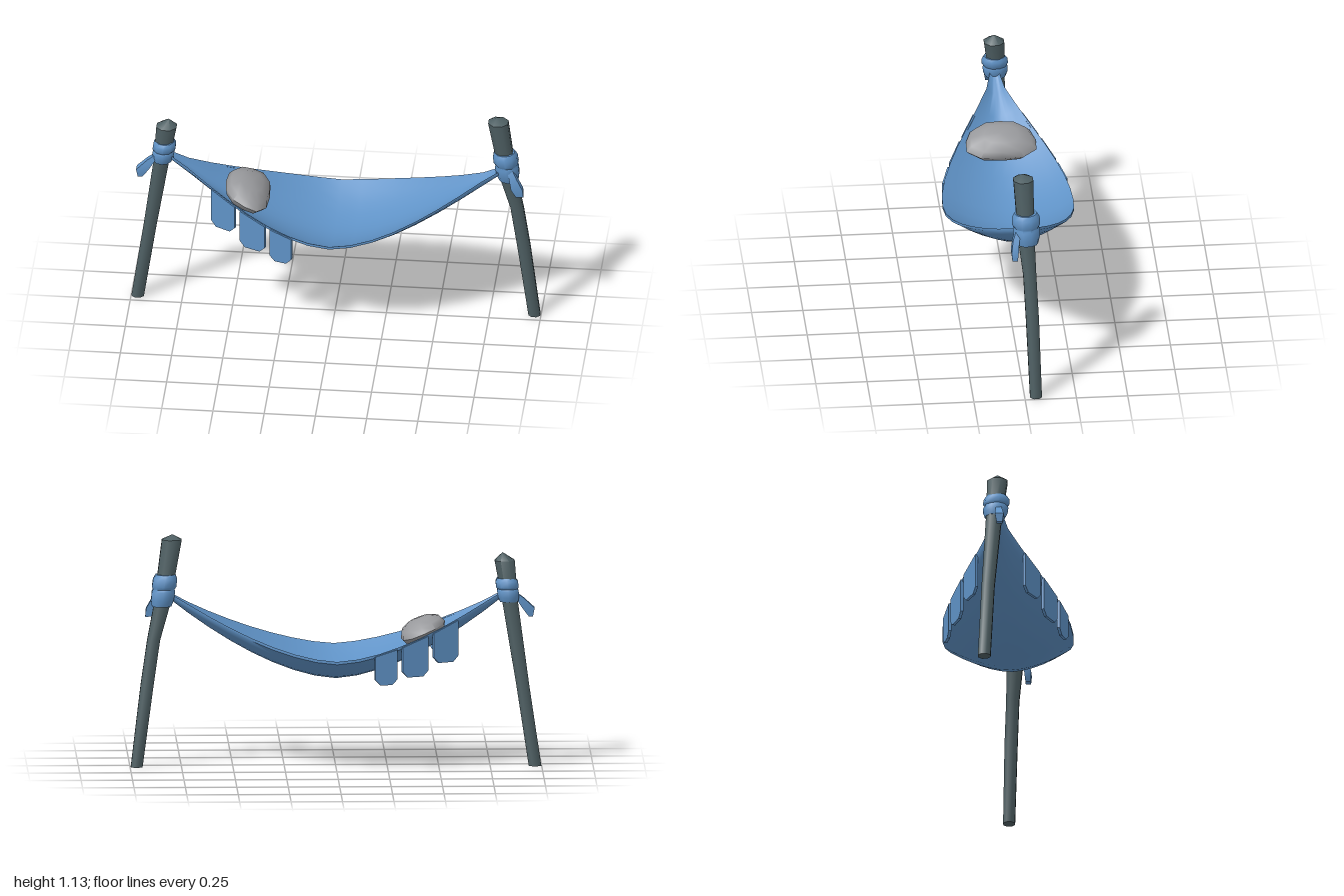
import * as THREE from 'three';
import { toCreasedNormals } from 'three/addons/utils/BufferGeometryUtils.js';

// Skin a list of equally sized closed rings of [x, y, z] points
function skin(rings, crease = 0.9) {
  const n = rings[0].length, index = [];
  for (let i = 0; i < rings.length - 1; i++) {
    for (let j = 0; j < n; j++) {
      const a = i * n + j, b = i * n + (j + 1) % n;
      index.push(a, a + n, b, b, a + n, b + n);
    }
  }
  const geo = new THREE.BufferGeometry();
  geo.setAttribute('position', new THREE.Float32BufferAttribute(rings.flat(2), 3));
  geo.setIndex(index);
  return toCreasedNormals(geo, crease);
}

// Horizontal rings rising along a path of [x, y, z, rx, rz]; a zero radius closes an end
function loft(path, sides) {
  return skin(path.map(([x, y, z, rx, rz = rx]) =>
    Array.from({ length: sides }, (_, j) => {
      const a = ((j + 0.5) / sides) * Math.PI * 2;
      return [x + rx * Math.cos(a), y, z + rz * Math.sin(a)];
    })));
}

// Cloth rules: half width, rim height and centre-line height along x
const END = 0.82;
const along = (x) => Math.min(1, Math.abs(x) / END);
const halfWidth = (x) => Math.max(0.016, 0.32 * Math.max(0, Math.cos(along(x) * Math.PI / 2)) ** 1.2);
const rimY = (x) => 0.543 + 0.305 * along(x) ** 1.6;
const keelY = (x) => 0.435 + 0.4 * along(x) ** 1.65;

export function createModel() {
  const model = new THREE.Group();
  const material = (name, color) => {
    const m = new THREE.MeshStandardMaterial({ color });
    m.name = name;
    return m;
  };
  const wood = material('dark wood', 0x4f6064);
  const blue = material('blue cloth', 0x5f92c6);
  const grey = material('grey pillow', 0x98999c);
  const add = (name, geo, mat) => {
    const mesh = new THREE.Mesh(geo, mat);
    mesh.name = name;
    model.add(mesh);
    return mesh;
  };

  // Leaning, slightly bent poles with blunt points
  add('rightPole', loft([
    [-0.968, 0, -0.055, 0], [-0.968, 0, -0.055, 0.033], [-0.908, 0.4, -0.04, 0.034],
    [-0.848, 0.8, -0.015, 0.041], [-0.822, 1.0, 0, 0.053], [-0.812, 1.04, 0, 0],
  ], 8), wood);
  add('leftPole', loft([
    [0.968, 0, -0.055, 0], [0.968, 0, -0.055, 0.031], [0.917, 0.4, -0.042, 0.034],
    [0.885, 0.62, -0.032, 0.034], [0.847, 0.78, -0.02, 0.042],
    [0.796, 1.11, -0.007, 0.052], [0.792, 1.135, -0.005, 0],
  ], 8), wood);

  // Wrapped knots: two bulging bands around each pole
  const bands = [[0, 0.035], [0, 0.055], [0.2, 0.064], [0.46, 0.066], [0.54, 0.061],
    [0.62, 0.069], [0.86, 0.068], [1, 0.056], [1, 0.035]];
  const knot = (name, bottom, top, scale) => {
    const path = bands.map(([t, r]) => [
      ...bottom.map((v, k) => v + (top[k] - v) * t), r * scale * 0.9, r * scale]);
    add(name, loft(path, 10), blue);
  };
  knot('rightKnot', [-0.843, 0.8, -0.01], [-0.83, 0.915, -0.003], 0.93);
  knot('leftKnot', [0.846, 0.785, -0.022], [0.826, 0.94, -0.016], 1);

  // Loose cloth ends hanging from the knots
  add('rightKnotTail', loft([
    [-0.95, 0.722, 0.018, 0], [-0.95, 0.722, 0.018, 0.014, 0.02], [-0.938, 0.765, 0.018, 0.042, 0.03],
    [-0.895, 0.815, 0.012, 0.028, 0.022], [-0.86, 0.845, 0.01, 0.02, 0.018],
  ], 4), blue);
  add('leftKnotTail', loft([
    [0.905, 0.725, 0.042, 0], [0.905, 0.725, 0.042, 0.026, 0.018], [0.892, 0.765, 0.042, 0.04, 0.024],
    [0.872, 0.82, 0.034, 0.026, 0.022], [0.855, 0.86, 0.02, 0.02, 0.02],
  ], 4), blue);

  // Sagging cloth: a thin shell with a curved cross-section
  const STEPS = 16, ACROSS = 10, rings = [];
  for (let i = 0; i <= STEPS; i++) {
    const x = (i / STEPS * 2 - 1) * END, top = [], under = [];
    for (let j = 0; j <= ACROSS; j++) {
      const u = 1 - 2 * j / ACROSS;
      const y = keelY(x) + (rimY(x) - keelY(x)) * Math.abs(u) ** 1.8;
      top.push([x, y + 0.007, u * halfWidth(x)]);
      under.unshift([x, y - 0.007, u * halfWidth(x)]);
    }
    rings.push([...top, ...under]);
  }
  add('hammockCloth', skin(rings), blue);

  // Hanging tabs along both rims at one end: centre x, half width, bottom height
  const tabs = [[-0.53, 0.06, 0.522], [-0.38, 0.063, 0.462], [-0.238, 0.055, 0.43]];
  for (const [x, w, bottom] of tabs) {
    const slope = (halfWidth(x + 0.03) - halfWidth(x - 0.03)) / 0.06;
    const yaw = Math.atan(slope), half = w / Math.cos(yaw), c = 0.028;
    const shape = new THREE.Shape([
      [-half, rimY(x - w)], [-half, bottom + c], [-half + c, bottom],
      [half - c, bottom], [half, bottom + c], [half, rimY(x + w)],
    ].map(([px, py]) => new THREE.Vector2(px, py)));
    const geo = new THREE.ExtrudeGeometry(shape, { depth: 0.014, bevelEnabled: false });
    geo.translate(0, 0, -0.007);
    for (const side of [1, -1]) {
      const tab = add(side > 0 ? 'frontTab' : 'backTab', geo, blue);
      tab.position.set(x, 0, side * halfWidth(x));
      tab.rotation.y = -side * yaw;
    }
  }

  // Pillow: a squarish flattened ball, wider on its downhill side
  const ball = new THREE.SphereGeometry(1, 12, 6);
  const p = ball.attributes.position;
  for (let i = 0; i < p.count; i++) {
    const x = p.getX(i), z = p.getZ(i);
    const flat = Math.hypot(x, z);
    const square = flat < 1e-4 ? 1 : flat / (x ** 4 + z ** 4) ** 0.25;
    const k = 1 + (square - 1) * 0.6;
    p.setXYZ(i, x * k * 0.115, p.getY(i) * 0.062, z * k * 0.17 * (1 + 0.16 * x));
  }
  const pillow = add('pillow', toCreasedNormals(ball, 1.1), grey);
  pillow.position.set(-0.425, 0.662, 0);
  pillow.rotation.z = -0.38;

  return model;
}
